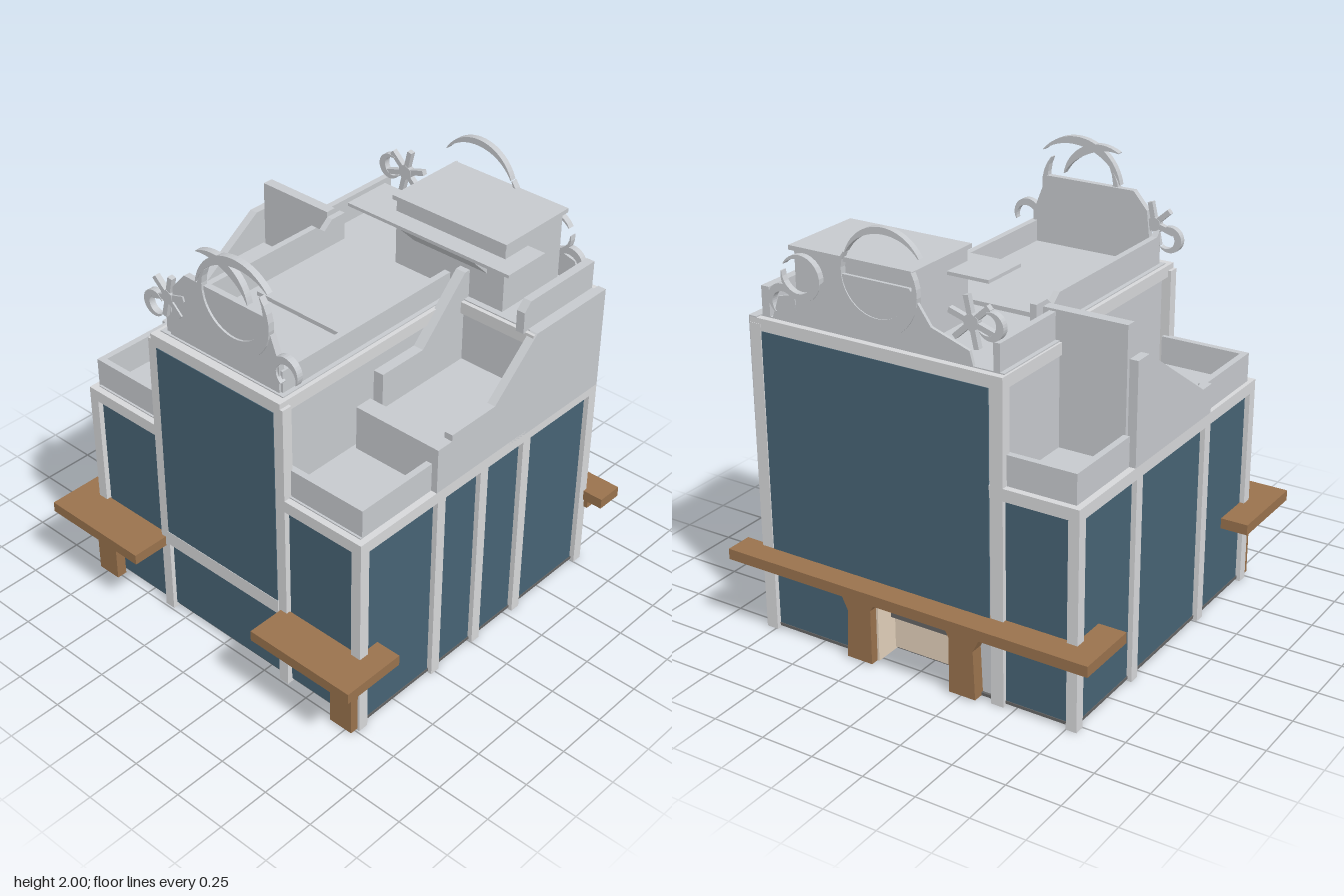
import * as THREE from 'three';

const material = (name, color) => {
  const m = new THREE.MeshStandardMaterial({ color });
  m.name = name;
  return m;
};

export function createModel() {
  const model = new THREE.Group();
  model.name = 'shopBuilding';
  const stone = material('paleStone', 0xc6c9cd);
  const trim = material('lightTrim', 0xd6d7d9);
  const glass = material('blueGlass', 0x476374);
  const wood = material('brownWood', 0x99724d);
  const cream = material('creamDoorway', 0xe2d0ba);
  const dark = material('darkBase', 0x646464);

  const add = (name, geo, mat, parent = model) => {
    const mesh = new THREE.Mesh(geo, mat);
    mesh.name = name;
    parent.add(mesh);
    return mesh;
  };
  const box = (name, mat, x0, x1, y0, y1, z0, z1) => {
    const g = new THREE.BoxGeometry(x1 - x0, y1 - y0, z1 - z0);
    g.translate((x0 + x1) / 2, (y0 + y1) / 2, (z0 + z1) / 2);
    return add(name, g, mat);
  };
  // extrude an x-y outline between two z values
  const slab = (name, mat, pts, z0, z1, parent) => {
    const s = new THREE.Shape(pts.map(p => new THREE.Vector2(p[0], p[1])));
    const g = new THREE.ExtrudeGeometry(s, { depth: z1 - z0, bevelEnabled: false });
    g.translate(0, 0, z0);
    return add(name, g, mat, parent);
  };

  // Ground floor, notched for the doorway on the right side
  for (const [x0, x1, z0, z1] of [[-0.71, 0.66, -0.77, 0.77], [0.66, 0.77, 0.2, 0.77], [0.66, 0.77, -0.77, -0.2]]) {
    box('groundFloor', stone, x0, x1, 0.02, 0.3, z0, z1);
    box('floorBase', dark, x0, x1 > 0.7 ? 0.782 : x1, 0.01, 0.024,
      z0 < -0.7 ? -0.782 : z0, z1 > 0.7 ? 0.782 : z1);
  }
  box('lowerBody', stone, -0.71, 0.77, 0.3, 0.96, -0.77, 0.77);
  box('beltCornice', trim, -0.74, 0.8, 0.95, 1.005, -0.8, 0.8);
  box('terraceFloor', stone, -0.71, 0.77, 1, 1.01, -0.77, 0.77);

  // Doorway lining and flared wooden jambs
  box('doorBack', cream, 0.66, 0.669, 0.02, 0.3, -0.2, 0.2);
  box('doorFrontCheek', cream, 0.66, 0.79, 0.01, 0.28, 0.19, 0.2);
  box('doorBackCheek', wood, 0.66, 0.79, 0.01, 0.28, -0.2, -0.19);
  box('doorHeader', cream, 0.66, 0.78, 0.262, 0.3, -0.19, 0.19);
  box('doorHeaderShadowGap', dark, 0.66, 0.779, 0.24, 0.262, -0.19, 0.13);
  for (const s of [-1, 1]) {
    const jamb = slab('doorJamb', wood, [[0.2, 0.01], [0.33, 0.01], [0.32, 0.24], [0.37, 0.34], [0.16, 0.34], [0.2, 0.27]]
      .map(p => [s * p[0], p[1]]), -0.83, -0.77);
    jamb.rotation.y = -Math.PI / 2;
  }

  // Posts: front, back, left, right
  for (const x of [-0.715, -0.25, 0.025, 0.31, 0.775]) box('frontPost', trim, x - 0.025, x + 0.025, 0, 0.98, 0.75, 0.8);
  for (const x of [-0.715, -0.28, 0.32, 0.775]) box('backPost', trim, x - 0.025, x + 0.025, 0, 0.98, -0.8, -0.75);
  for (const z of [-0.36, 0.36]) box('leftPost', trim, -0.74, -0.69, 0, 1.45, z - 0.025, z + 0.025);
  box('rightFrontPost', trim, 0.75, 0.802, 0, 1.45, 0.74, 0.795);
  box('rightMiddlePost', trim, 0.75, 0.8, 0, 1.45, -0.45, -0.39);

  // Glass panes
  for (const [a, b] of [[-0.685, -0.28], [-0.22, -0.003], [0.052, 0.28], [0.34, 0.745]])
    box('frontPane', glass, a, b, 0.024, 0.945, 0.77, 0.779);
  for (const [a, b] of [[-0.685, -0.31], [-0.25, 0.29], [0.35, 0.745]])
    box('backPane', glass, a, b, 0.024, 0.945, -0.779, -0.77);
  for (const [z0, z1] of [[0.39, 0.745], [-0.745, -0.39]])
    box('leftPane', glass, -0.719, -0.71, 0.024, 0.945, z0, z1);

  // Upper storeys: a narrow hall running left-right and a deep hall on the right
  box('leftHall', stone, -0.71, 0.34, 0.98, 1.43, -0.34, 0.34);
  box('leftHallCornice', trim, -0.74, 0.34, 1.42, 1.475, -0.37, 0.37);
  box('leftRoof', stone, -0.7, 0.34, 1.47, 1.48, -0.35, 0.35);
  box('rightHall', stone, 0.33, 0.77, 0.98, 1.43, -0.44, 0.77);
  box('rightHallCornice', trim, 0.31, 0.8, 1.42, 1.475, -0.45, 0.795);
  box('rightRoof', stone, 0.33, 0.77, 1.47, 1.48, -0.44, 0.77);
  // Tall windows cover the belt cornice on both sides
  box('rightTallWindow', glass, 0.796, 0.803, 0.4, 1.42, -0.385, 0.735);
  box('rightLowWindow', glass, 0.77, 0.779, 0.024, 0.32, 0.32, 0.74);
  box('rightBackWindow', glass, 0.77, 0.779, 0.024, 0.945, -0.745, -0.45);
  box('leftTallWindow', glass, -0.743, -0.736, 0.45, 1.42, -0.335, 0.335);
  box('leftLowWindow', glass, -0.719, -0.71, 0.024, 0.37, -0.335, 0.335);
  box('leftWindowBar', trim, -0.745, -0.71, 0.38, 0.45, -0.34, 0.34);

  // Wooden canopies
  const canopy = (pts, name) => {
    const s = new THREE.Shape(pts.map(p => new THREE.Vector2(p[0], -p[1])));
    const g = new THREE.ExtrudeGeometry(s, { depth: 0.05, bevelEnabled: false });
    g.rotateX(-Math.PI / 2);
    g.translate(0, 0.355, 0);
    add(name, g, wood);
  };
  canopy([[0.78, 0.9], [0.91, 0.9], [0.91, -0.91], [0.6, -0.91], [0.6, -0.78], [0.78, -0.78]], 'rightCanopy');
  canopy([[-0.92, 0.35], [-0.92, 0.9], [-0.61, 0.9], [-0.61, 0.77], [-0.72, 0.77], [-0.72, 0.35]], 'leftFrontCanopy');
  canopy([[-0.92, -0.36], [-0.72, -0.36], [-0.72, -0.77], [-0.5, -0.77], [-0.5, -0.91], [-0.92, -0.91]], 'leftBackCanopy');
  slab('rightCanopyBrace', wood, [[0.79, 0.36], [0.79, 0.31], [0.835, 0.31], [0.845, 0.36]], -0.82, 0.82);
  for (const z of [-0.73, 0.73]) {
    box('leftCanopyPost', wood, -0.78, -0.73, 0.01, 0.36, z - 0.06, z + 0.06);
    slab('leftCanopyBrace', wood, [[-0.74, 0.36], [-0.88, 0.36], [-0.79, 0.32], [-0.74, 0.32]], z - 0.08, z + 0.08);
  }

  // Front terrace: low parapet, stepped wall and raised floor
  box('frontLeftParapet', stone, -0.7, -0.27, 1, 1.14, 0.74, 0.77);
  for (const [z0, z1] of [[0.36, 0.77], [-0.77, -0.36]]) box('sideParapet', stone, -0.7, -0.67, 1, 1.14, z0, z1);
  slab('frontSteppedWall', stone, [[-0.285, 0.99], [0.8, 0.99], [0.8, 1.48], [0.33, 1.48], [0.07, 1.25], [-0.2, 1.25], [-0.2, 1.22], [-0.285, 1.22]], 0.76, 0.8);
  box('terraceDivider', stone, -0.285, -0.2, 1, 1.22, 0.36, 0.77);
  box('raisedTerrace', stone, -0.2, 0.34, 1, 1.18, 0.36, 0.77);
  slab('innerSteppedWall', stone, [[-0.18, 1.1], [0.36, 1.1], [0.36, 1.61], [0.33, 1.61], [0.07, 1.35], [-0.18, 1.35]], 0.36, 0.41);

  // Back terrace: parapet, sloping chute wall, partition and low corner terrace
  box('backLeftParapet', stone, -0.7, -0.27, 1, 1.14, -0.78, -0.75);
  slab('backSlopingWall', stone, [[-0.3, 1], [0.36, 1], [0.36, 1.47], [0.27, 1.47], [-0.22, 1.14], [-0.3, 1.14]], -0.8, -0.76);
  slab('backChute', stone, [[-0.32, 1], [0.34, 1], [0.34, 1.3], [0.15, 1.22], [-0.1, 1.08]], -0.77, -0.36);
  box('chuteLanding', stone, 0.07, 0.27, 1.1, 1.33, -0.72, -0.55);
  box('partitionWall', stone, 0.31, 0.36, 1, 1.61, -0.75, -0.36);
  box('cornerBackParapet', stone, 0.36, 0.77, 1, 1.14, -0.77, -0.74);
  box('cornerSideParapet', stone, 0.74, 0.77, 1, 1.14, -0.77, -0.42);

  // Roof parapets, raised panel and penthouse
  box('frontRoofParapet', stone, -0.68, 0.33, 1.47, 1.58, 0.3, 0.33);
  slab('backRoofParapet', stone, [[-0.68, 1.47], [0.36, 1.47], [0.36, 1.61], [0.28, 1.61], [0.23, 1.57], [0.18, 1.61], [-0.65, 1.61], [-0.68, 1.64]], -0.33, -0.3);
  box('roofPanel', stone, -0.24, 0.2, 1.47, 1.5, -0.25, 0.25);
  slab('rightRoofParapet', stone, [[0.3, 1.47], [0.77, 1.47], [0.77, 1.61], [0.34, 1.61], [0.3, 1.57]], 0.71, 0.75);
  box('rightRoofBackParapet', stone, 0.35, 0.77, 1.47, 1.6, -0.42, -0.39);
  box('penthouse', stone, 0.36, 0.74, 1.47, 1.8, 0, 0.59);
  box('penthouseRoof', stone, 0.35, 0.765, 1.79, 1.81, -0.015, 0.6);
  slab('penthouseWing', stone, [[0.27, 1.735], [0.27, 1.72], [0.36, 1.63], [0.51, 1.63], [0.51, 1.735]], 0.1, 0.5);
  box('wingPlate', stone, 0.27, 0.51, 1.72, 1.735, -0.2, 0.68);

  // Roof ornaments, drawn along z and turned to face sideways
  const sign = (name, x) => {
    const g = new THREE.Group();
    g.name = name;
    g.position.x = x;
    g.rotation.y = -Math.PI / 2;
    model.add(g);
    return g;
  };
  const crescent = (name, g, cx, cy, r, a0, a1, t) => {
    const outer = [], inner = [];
    for (let i = 0; i <= 24; i++) {
      const s = i / 24, a = THREE.MathUtils.degToRad(a0 + (a1 - a0) * s);
      const q = r - t * Math.sin(Math.PI * s) - 0.004;
      outer.push([cx + r * Math.cos(a), cy + r * Math.sin(a)]);
      inner.unshift([cx + q * Math.cos(a), cy + q * Math.sin(a)]);
    }
    slab(name, stone, outer.concat(inner), -0.015, 0.015, g);
  };
  const flake = (g, cx, cy, r) => {
    for (let i = 0; i < 3; i++) {
      const arm = add('flakeArm', new THREE.BoxGeometry(r * 2, 0.024, 0.026), stone, g);
      arm.position.set(cx, cy, 0);
      arm.rotation.z = i * Math.PI / 3 + 0.3;
    }
    add('flakeHub', new THREE.CylinderGeometry(r * 0.35, r * 0.35, 0.03, 6).rotateX(Math.PI / 2), stone, g).position.set(cx, cy, 0);
  };

  const right = sign('rightOrnament', 0.76);
  slab('ornamentBoard', stone, [[-0.3, 1.47], [0.7, 1.47], [0.66, 1.58], [0.5, 1.62], [0.36, 1.74], [0, 1.74], [-0.1, 1.6], [-0.28, 1.54]], -0.01, 0.005, right);
  crescent('moon', right, 0.16, 1.71, 0.2, 150, 400, 0.07);
  crescent('moonHorn', right, 0.12, 1.77, 0.2, 20, 150, 0.025);
  crescent('wreath', right, 0.54, 1.68, 0.1, 30, 370, 0.035);
  crescent('scroll', right, 0.64, 1.57, 0.07, -60, 200, 0.03);
  crescent('scroll', right, -0.38, 1.66, 0.06, 60, 330, 0.03);
  flake(right, -0.29, 1.66, 0.11);

  const left = sign('leftOrnament', -0.685);
  slab('ornamentBoard', stone, [[-0.3, 1.47], [0.32, 1.47], [0.32, 1.62], [0.25, 1.8], [-0.2, 1.8], [-0.27, 1.72]], -0.025, 0.005, left);
  crescent('moon', left, 0.08, 1.76, 0.2, 140, 400, 0.07);
  crescent('tallHorn', left, 0.1, 1.77, 0.23, 40, 170, 0.035);
  crescent('tallHorn', left, -0.02, 1.79, 0.19, 10, 120, 0.035);
  crescent('scroll', left, 0.36, 1.6, 0.07, -30, 250, 0.03);
  crescent('scroll', left, -0.38, 1.6, 0.06, 30, 320, 0.03);
  flake(left, -0.3, 1.66, 0.1);

  return model;
}
